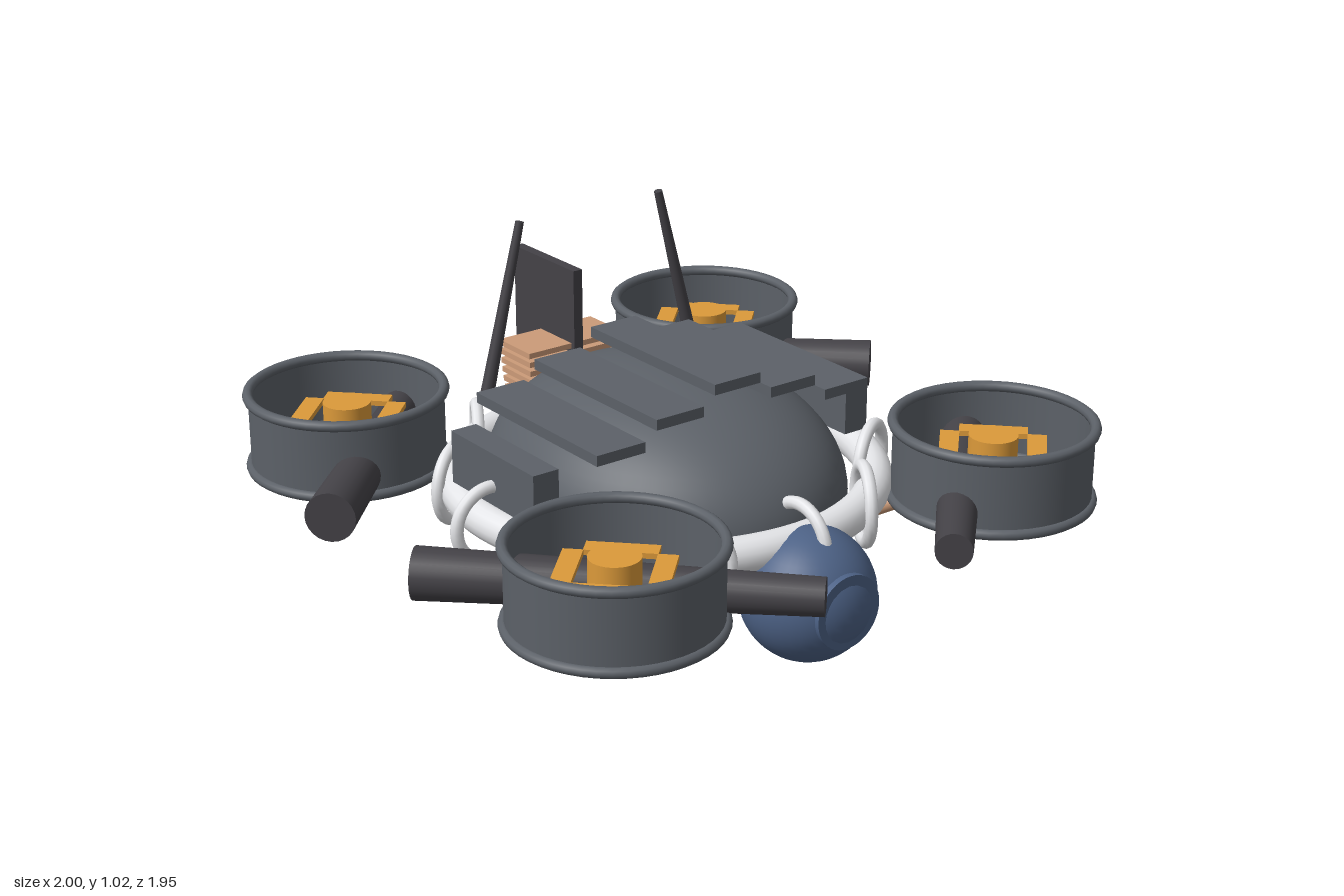
import * as THREE from 'three';

const mat = (color, side = THREE.FrontSide) => new THREE.MeshStandardMaterial({ color, side });
const M = {
  hull: mat(0x5c6168),
  shroud: mat(0x5c6168, THREE.DoubleSide),
  dark: mat(0x444247),
  white: mat(0xe4e5e8),
  blue: mat(0x4d6286),
  orange: mat(0xdc9a3a),
  tan: mat(0xcc9b78),
};

function add(parent, name, geometry, material, x = 0, y = 0, z = 0) {
  const mesh = new THREE.Mesh(geometry, material);
  mesh.name = name;
  mesh.position.set(x, y, z);
  parent.add(mesh);
  return mesh;
}

const box = (w, h, d) => new THREE.BoxGeometry(w, h, d);

// Tapered rod running from a (radius ra) to b (radius rb)
function rod(parent, name, a, b, ra, rb, material) {
  const from = new THREE.Vector3(...a);
  const to = new THREE.Vector3(...b);
  const dir = to.clone().sub(from);
  const mesh = add(parent, name, new THREE.CylinderGeometry(rb, ra, dir.length(), 24), material);
  mesh.position.copy(from).add(to).multiplyScalar(0.5);
  mesh.quaternion.setFromUnitVectors(new THREE.Vector3(0, 1, 0), dir.normalize());
  return mesh;
}

// Ducted rotor with its crossing tube and strut; sx, sz choose the corner
function makeRotor(sx, sz) {
  const g = new THREE.Group();
  g.name = 'rotorUnit';
  const c = 0.64;
  const cx = sx * c, cz = sz * c;

  add(g, 'shroud', new THREE.CylinderGeometry(0.275, 0.275, 0.21, 48, 1, true), M.shroud, cx, 0.43, cz);
  for (const y of [0.325, 0.535]) {
    const rim = add(g, 'shroudRim', new THREE.TorusGeometry(0.275, 0.015, 10, 48), M.hull, cx, y, cz);
    rim.rotation.x = Math.PI / 2;
  }

  add(g, 'motor', new THREE.CylinderGeometry(0.068, 0.068, 0.08, 32), M.orange, cx, 0.46, cz);
  for (let i = 0; i < 4; i++) {
    const a = Math.PI / 4 + (i * Math.PI) / 2;
    const blade = add(g, 'blade', box(0.053, 0.015, 0.19), M.orange,
      cx + 0.12 * Math.cos(a), 0.46, cz + 0.12 * Math.sin(a));
    blade.rotation.y = -a;
  }

  rod(g, 'crossTube', [sx * 0.216, 0.38, sz * 0.94], [sx * 0.95, 0.38, sz * 0.21], 0.05, 0.07, M.dark);
  rod(g, 'strut', [sx * 0.335, 0.215, sz * 0.335], [sx * 0.58, 0.36, sz * 0.58], 0.026, 0.02, M.tan);
  return g;
}

export function createModel() {
  const root = new THREE.Group();
  root.name = 'drone';

  // Ellipsoid hull
  const hull = add(root, 'hull', new THREE.SphereGeometry(1, 64, 40), M.hull, 0, 0.335, 0);
  hull.scale.set(0.47, 0.328, 0.56);

  // Main ring and the small hoops threaded around it
  const ring = add(root, 'mainRing', new THREE.TorusGeometry(0.585, 0.05, 16, 80), M.white, 0, 0.34, 0);
  ring.rotation.x = Math.PI / 2;
  const hoopGeo = new THREE.TorusGeometry(0.105, 0.018, 10, 36);
  for (let i = 0; i < 12; i++) {
    const a = (i * Math.PI) / 6;
    const hoop = add(root, 'hoop', hoopGeo, M.white, 0.585 * Math.cos(a), 0.34, 0.585 * Math.sin(a));
    hoop.rotation.y = a;
  }

  // Front sensor ball with lens collar
  add(root, 'sensorBall', new THREE.SphereGeometry(0.185, 40, 28), M.blue, 0, 0.205, 0.62);
  const lens = add(root, 'lensCollar', new THREE.CylinderGeometry(0.104, 0.104, 0.025, 40), M.blue, 0, 0.21, 0.774);
  lens.rotation.x = Math.PI / 2;

  // Stepped roof planks and side panels
  for (let i = -2; i <= 2; i++) {
    add(root, 'roofPlank', box(0.155, 0.03, 0.56), M.hull, i * 0.192, 0.7 - 0.0525 * Math.abs(i), 0.04);
  }
  for (const s of [-1, 1]) {
    add(root, 'sidePanel', box(0.08, 0.15, 0.39), M.hull, s * 0.535, 0.465, 0);
    rod(root, 'antenna', [s * 0.362, 0.538, -0.345], [s * 0.238, 1.028, -0.345], 0.02, 0.012, M.dark);
  }

  // Tail fin through a stack of thin plates
  add(root, 'tailFin', box(0.03, 0.38, 0.3), M.dark, 0, 0.63, -0.56);
  for (let i = 0; i < 8; i++) {
    const k = 1 - 0.015 * i;
    add(root, 'tailPlate', box(0.325 * k, 0.016, 0.155 * k), M.tan, 0, 0.59 - 0.028 * i, -0.502);
  }

  for (const sx of [-1, 1]) for (const sz of [-1, 1]) root.add(makeRotor(sx, sz));
  return root;
}
